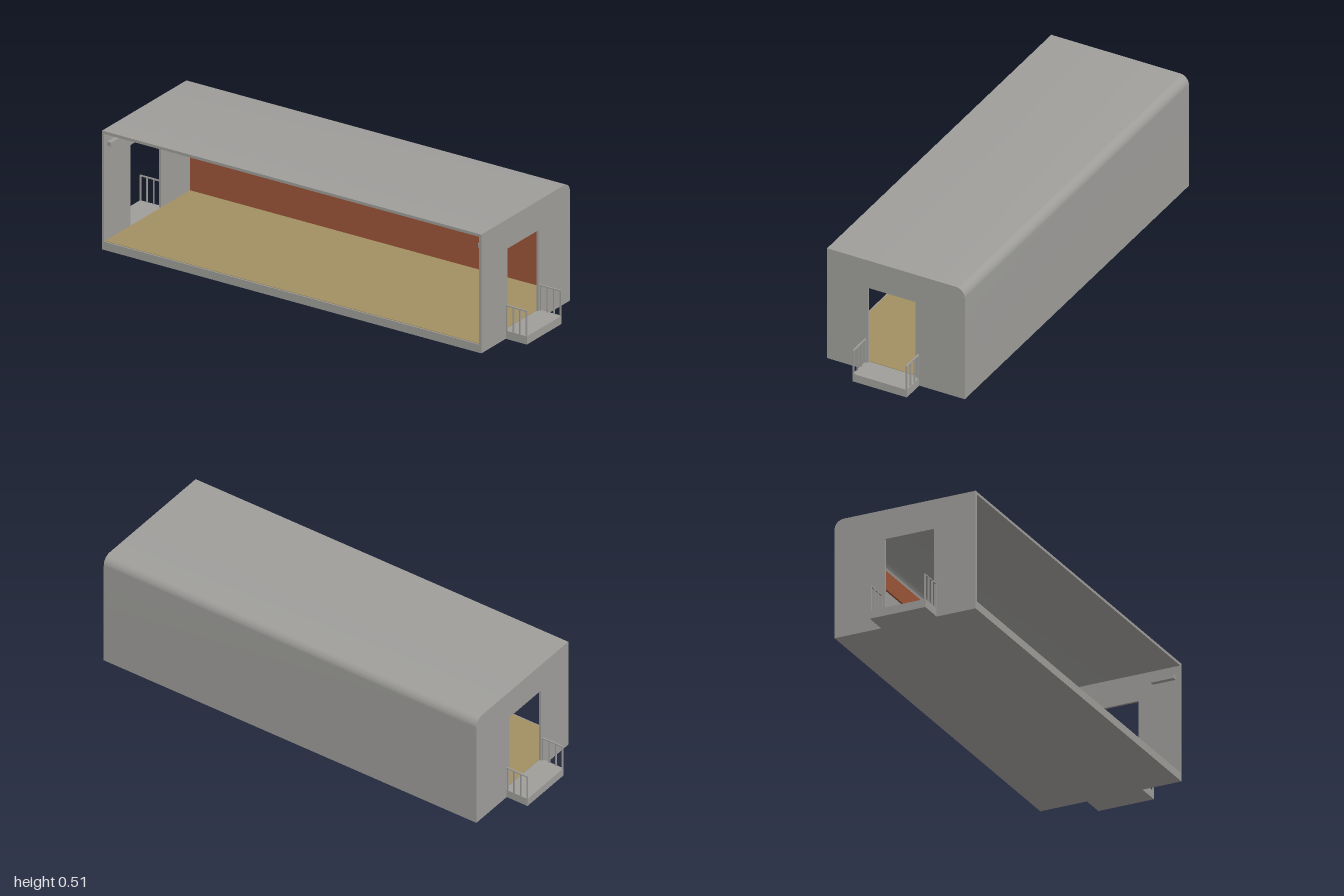
import * as THREE from 'three';
import { toCreasedNormals } from 'three/addons/utils/BufferGeometryUtils.js';

const mat = (name, color) => new THREE.MeshStandardMaterial({ name, color });

export function createModel() {
  const grey = mat('grey', 0x9e9d9a);
  const brick = mat('brickRed', 0x9c5538);
  const tan = mat('floorTan', 0xa28f62);
  const model = new THREE.Group();
  model.name = 'openHall';

  const L = 0.9, W = 0.31, H = 0.51, R = 0.04, T = 0.012, END = 0.01, FLOOR = 0.035;

  const add = (name, geo, material, x = 0, y = 0, z = 0, parent = model) => {
    const m = new THREE.Mesh(geo, material);
    m.name = name;
    m.position.set(x, y, z);
    parent.add(m);
    return m;
  };
  const box = (name, w, h, d, material, x, y, z, parent) =>
    add(name, new THREE.BoxGeometry(w, h, d), material, x, y, z, parent);

  // Extrude a (-z, y) profile along x, centred on x = 0
  const alongX = (shape, depth) => {
    const g = new THREE.ExtrudeGeometry(shape, { depth, bevelEnabled: false, curveSegments: 12 });
    g.translate(0, 0, -depth / 2).rotateY(Math.PI / 2);
    return toCreasedNormals(g, 0.5);
  };

  // Floor slab, back wall and roof as one C-shaped section
  const shell = new THREE.Shape();
  shell.moveTo(-W, 0);
  shell.lineTo(W, 0);
  shell.lineTo(W, H - R);
  shell.absarc(W - R, H - R, R, 0, Math.PI / 2, false);
  shell.lineTo(-W, H);
  shell.lineTo(-W, H - T);
  shell.lineTo(W - R, H - T);
  shell.absarc(W - R, H - R, R - T, Math.PI / 2, 0, true);
  shell.lineTo(W - T, FLOOR);
  shell.lineTo(-W, FLOOR);
  shell.closePath();
  add('shell', alongX(shell, 2 * (L - END)), grey);

  // End wall with a rounded rear corner and a doorway
  const end = new THREE.Shape();
  end.moveTo(-W, 0);
  end.lineTo(W, 0);
  end.lineTo(W, H - R);
  end.absarc(W - R, H - R, R, 0, Math.PI / 2, false);
  end.lineTo(-W, H);
  end.closePath();
  const door = new THREE.Path();
  door.moveTo(-0.126, FLOOR);
  door.lineTo(-0.126, 0.383);
  door.lineTo(0.089, 0.383);
  door.lineTo(0.089, FLOOR);
  door.closePath();
  end.holes.push(door);
  const endGeo = alongX(end, END);

  // Brick lining of the back wall with rounded window recesses
  const lining = new THREE.Shape();
  const x1 = L - END;
  lining.moveTo(-x1, FLOOR);
  lining.lineTo(x1, FLOOR);
  lining.lineTo(x1, 0.46);
  lining.lineTo(-x1, 0.46);
  lining.closePath();
  for (let i = 0; i < 4; i++) {
    const l = -0.798 + i * 0.279, r = l + 0.198, b = 0.202, t = 0.379, c = 0.014;
    const w = new THREE.Path();
    w.moveTo(l + c, b);
    w.absarc(r - c, b + c, c, -Math.PI / 2, 0, false);
    w.absarc(r - c, t - c, c, 0, Math.PI / 2, false);
    w.absarc(l + c, t - c, c, Math.PI / 2, Math.PI, false);
    w.absarc(l + c, b + c, c, Math.PI, Math.PI * 1.5, false);
    lining.holes.push(w);
  }
  add('brickLining',
    new THREE.ExtrudeGeometry(lining, { depth: 0.008, bevelEnabled: false, curveSegments: 6 }),
    brick, 0, 0, -W + T);

  // Floor covering
  box('floorCovering', 2 * x1, 0.002, 2 * W - T - 0.012, tan, 0, FLOOR + 0.001, T / 2);

  // Both ends: wall, landing, railings and a small roof bracket
  const z0 = -0.105, z1 = 0.139, railTop = 0.145;
  for (const s of [1, -1]) {
    const side = s > 0 ? 'left' : 'right';
    add(side + 'EndWall', endGeo, grey, s * (L - END / 2));
    box(side + 'Landing', 0.1, FLOOR, z1 - z0, grey, s * 0.95, FLOOR / 2, (z0 + z1) / 2);
    for (const z of [z0 + 0.003, z1 - 0.003]) {
      const rail = new THREE.Group();
      rail.name = side + 'Railing';
      model.add(rail);
      box('handrail', 0.1, 0.005, 0.006, grey, s * 0.95, railTop - 0.0025, z, rail);
      for (const x of [0.903, 0.934, 0.966, 0.997])
        box('railPost', 0.005, railTop - FLOOR, 0.006, grey, s * x, (railTop + FLOOR) / 2, z, rail);
    }
    box(side + 'RoofBracket', 0.02, 0.018, 0.1, grey, s * (x1 - 0.01), 0.449, 0.24);
  }
  return model;
}
